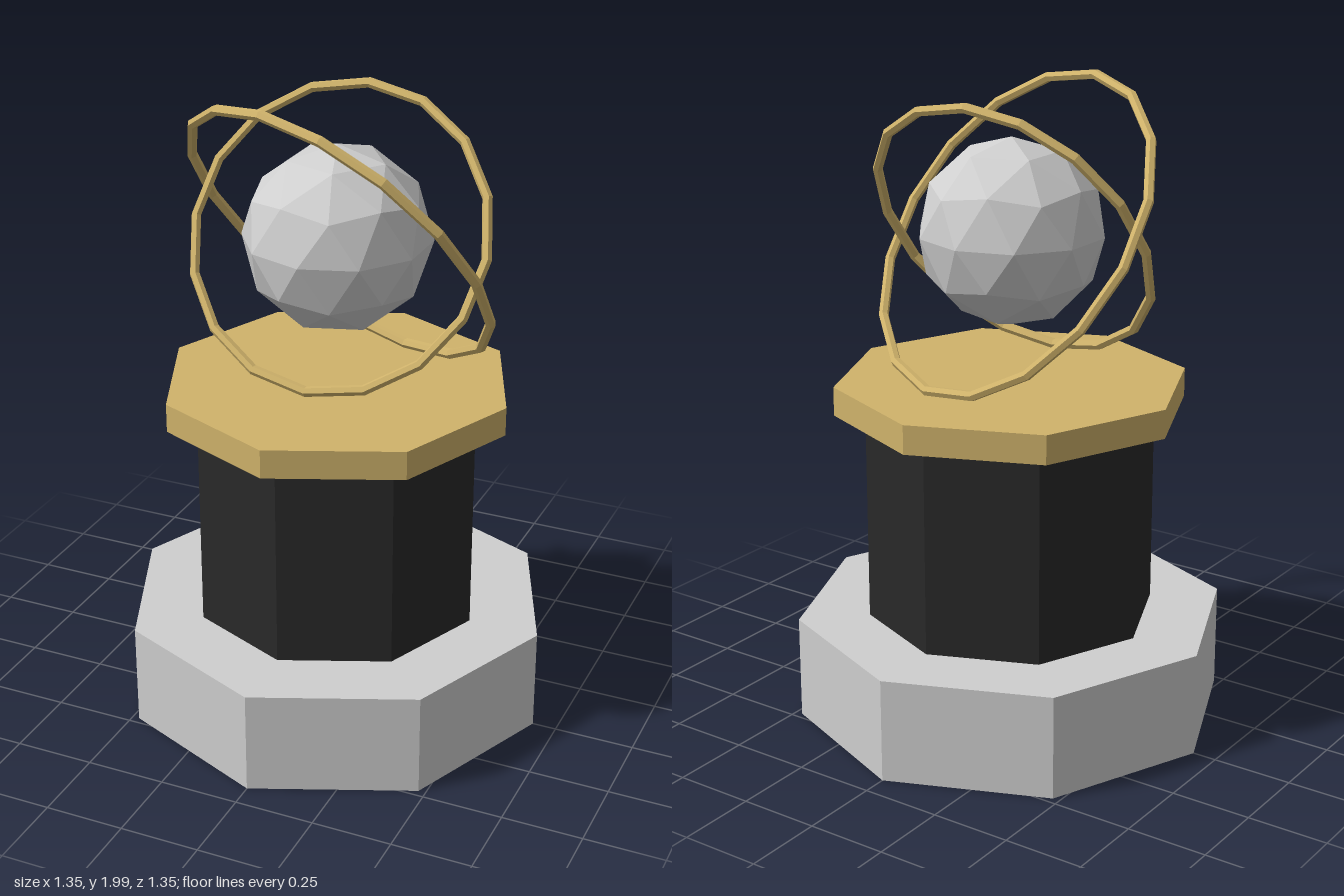
import * as THREE from 'three';

const deg = THREE.MathUtils.degToRad;

export function createModel() {
  const material = (name, color) => {
    const m = new THREE.MeshStandardMaterial({ color, flatShading: true });
    m.name = name;
    return m;
  };
  const silver = material('silver', 0xcfcfcf);
  const gold = material('gold', 0xd0b36b);
  const black = material('black', 0x292929);

  const model = new THREE.Group();
  model.name = 'orbTrophy';
  const add = (name, geometry, mat) => {
    const mesh = new THREE.Mesh(geometry, mat);
    mesh.name = name;
    model.add(mesh);
    return mesh;
  };

  // Octagonal pedestal, stacked from the ground up: name, radius, bottom, top
  const tiers = [
    ['base', 0.675, 0, 0.325, silver],
    ['column', 0.452, 0.325, 0.99, black],
    ['cap', 0.547, 0.99, 1.08, gold],
  ];
  for (const [name, radius, bottom, top, mat] of tiers) {
    const tier = add(name, new THREE.CylinderGeometry(radius, radius, top - bottom, 8), mat);
    tier.position.y = (bottom + top) / 2;
  }

  // Faceted orb, turned so that one five-sided corner points straight up
  const centreY = 1.538;
  const orbGeometry = new THREE.IcosahedronGeometry(0.288, 1);
  orbGeometry.rotateX(-Math.atan((1 + Math.sqrt(5)) / 2));
  orbGeometry.rotateY(Math.PI / 2);
  add('orb', orbGeometry, silver).position.y = centreY;

  // Two tilted rings around the orb: name, radius, tilt, turn
  const rings = [
    ['innerRing', 0.47, 60, 0],
    ['outerRing', 0.54, -55, -20],
  ];
  for (const [name, radius, tilt, turn] of rings) {
    const geometry = new THREE.TorusGeometry(radius, 0.016, 6, 16).rotateX(-Math.PI / 2);
    const ring = add(name, geometry, gold);
    ring.position.y = centreY;
    ring.rotation.set(deg(tilt), deg(turn), 0, 'YXZ');
  }

  return model;
}
